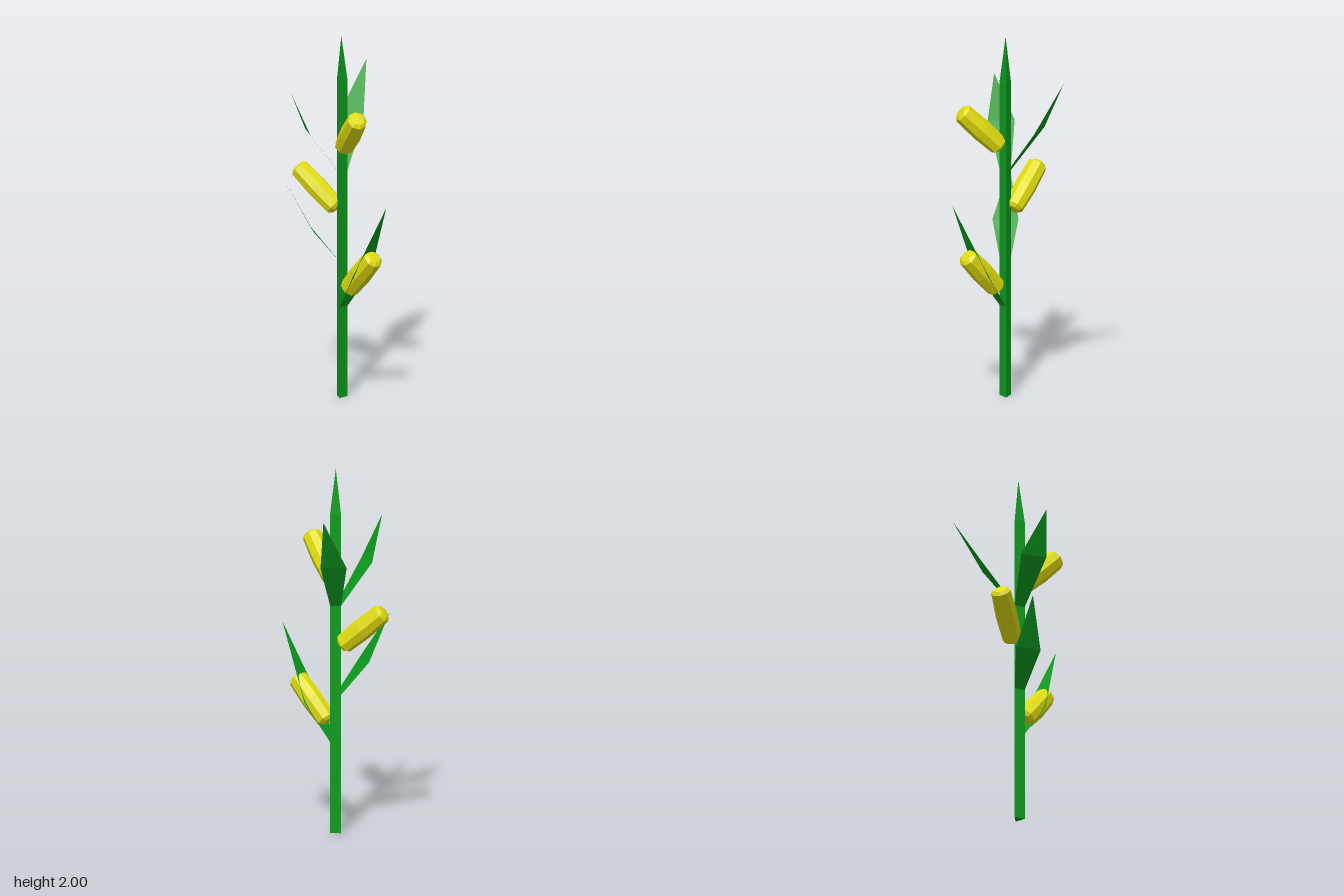
import * as THREE from 'three';

const green = new THREE.MeshStandardMaterial({ color: 0x0c9a1e, flatShading: true });
const leafGreen = new THREE.MeshStandardMaterial({ color: 0x0c9a1e, flatShading: true, side: THREE.DoubleSide });
const yellow = new THREE.MeshStandardMaterial({ color: 0xe0dc10, flatShading: true });

const STALK_X = -0.03, STALK_Z = -0.024, STALK_R = 0.0346, STALK_TOP = 1.75;

// Lengthwise profile of a cob: blunt bevelled ends, slightly swollen middle (unit length)
const cobProfile = [
  [0, -0.02], [0.034, -0.015], [0.053, 0.04], [0.06, 0.5], [0.054, 0.97], [0.036, 1.02], [0, 1.03],
];

function makeCob(name, bottom, top) {
  const a = new THREE.Vector3(...bottom);
  const axis = new THREE.Vector3(...top).sub(a);
  const length = axis.length();
  const points = cobProfile.map(([r, t]) => new THREE.Vector2(r, t * length));
  const cob = new THREE.Mesh(new THREE.LatheGeometry(points, 8, Math.PI / 8), yellow);
  cob.name = name;
  cob.position.copy(a);
  cob.quaternion.setFromUnitVectors(new THREE.Vector3(0, 1, 0), axis.normalize());
  return cob;
}

// A leaf is a blade of two base corners, two shoulder corners and a tip
function makeLeaf(name, baseA, baseB, shoulderB, shoulderA, tip) {
  const geometry = new THREE.BufferGeometry();
  geometry.setAttribute('position',
    new THREE.Float32BufferAttribute([baseA, baseB, shoulderB, shoulderA, tip].flat(), 3));
  geometry.setIndex([0, 1, 2, 0, 2, 3, 3, 2, 4]);
  geometry.computeVertexNormals();
  const leaf = new THREE.Mesh(geometry, leafGreen);
  leaf.name = name;
  return leaf;
}

export function createModel() {
  const model = new THREE.Group();
  model.name = 'cornPlant';

  // Three-sided stalk with a pointed tip
  const stalk = new THREE.Mesh(new THREE.CylinderGeometry(STALK_R, STALK_R, STALK_TOP, 3), green);
  stalk.name = 'stalk';
  stalk.position.set(STALK_X, STALK_TOP / 2, STALK_Z);
  stalk.rotation.y = Math.PI;
  const tip = new THREE.Mesh(new THREE.ConeGeometry(STALK_R, 2 - STALK_TOP, 3, 1, true), green);
  tip.name = 'stalkTip';
  tip.position.set(STALK_X, (2 + STALK_TOP) / 2, STALK_Z);
  tip.rotation.y = Math.PI;
  model.add(stalk, tip);

  // Cobs, leaning out from the stalk
  model.add(
    makeCob('upperCob', [-0.04, 1.39, 0.006], [-0.12, 1.595, 0.2]),
    makeCob('backCob', [-0.025, 1.037, -0.069], [-0.097, 1.233, -0.287]),
    makeCob('lowerCob', [-0.03, 0.607, 0.032], [-0.03, 0.818, 0.23]),
  );

  // Leaves, each growing from one face of the stalk
  const leftEdge = (y) => [0, y, -0.008];
  const rightEdge = (y) => [-0.06, y, -0.008];
  const backEdge = (y) => [-0.03, y, -0.058];
  model.add(
    makeLeaf('upperLeftLeaf', leftEdge(1.25), backEdge(1.25),
      [0.10, 1.5, -0.187], [0.173, 1.496, -0.067], [0.294, 1.785, -0.172]),
    makeLeaf('upperRightLeaf', backEdge(1.25), rightEdge(1.25),
      [-0.231, 1.48, -0.051], [-0.154, 1.48, -0.174], [-0.295, 1.715, -0.14]),
    makeLeaf('middleRightLeaf', backEdge(0.76), rightEdge(0.76),
      [-0.2, 0.937, -0.06], [-0.122, 0.937, -0.176], [-0.258, 1.19, -0.215]),
    makeLeaf('frontLeaf', rightEdge(0.5), leftEdge(0.5),
      [0.037, 0.705, 0.135], [-0.097, 0.705, 0.135], [-0.03, 1.114, 0.326]),
  );
  return model;
}
